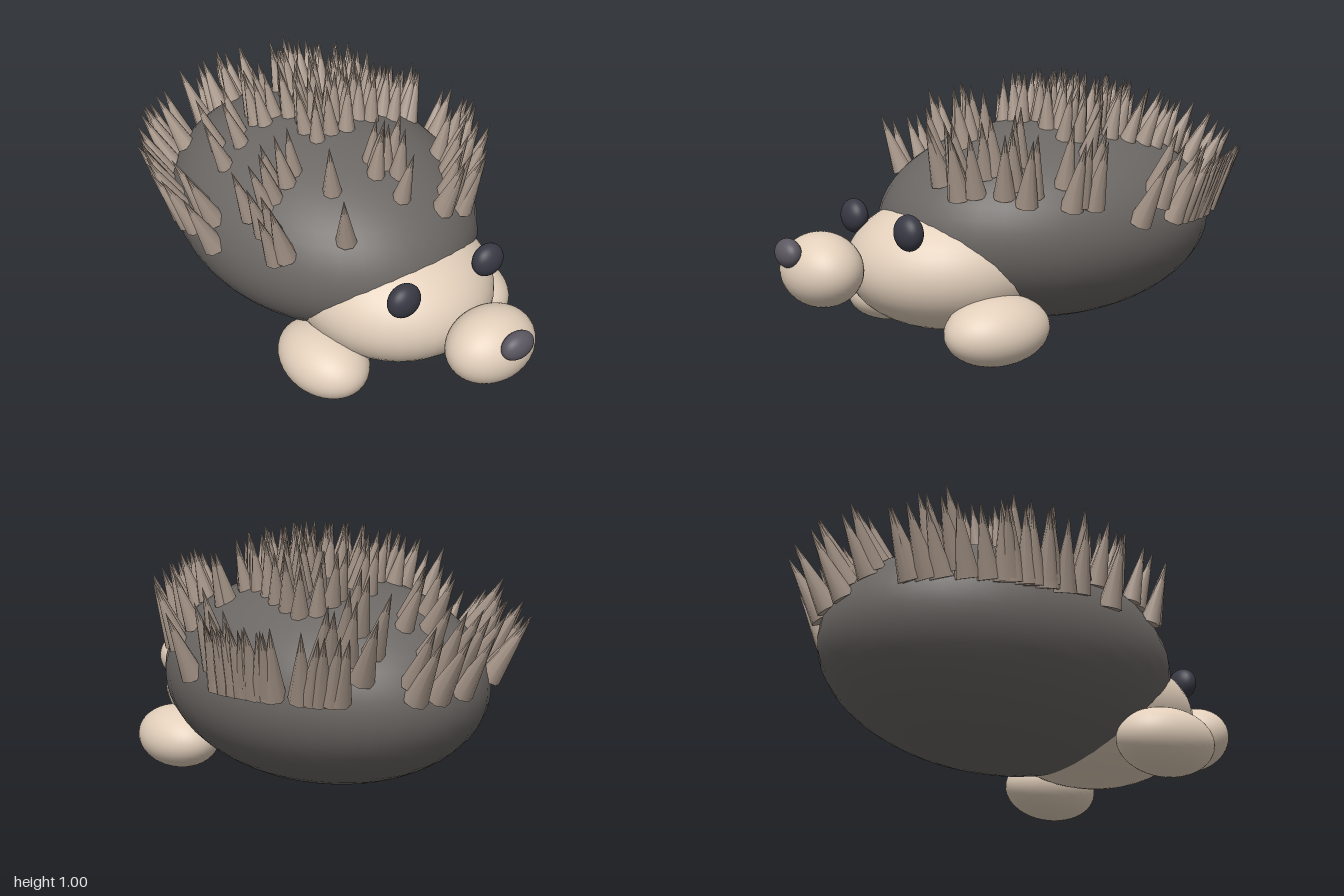
import * as THREE from 'three';

const BODY = { centre: [0, 0.425, -0.14], radii: [0.55, 0.385, 0.7] };

// Spike tufts seen from above: x, z, half width, half depth, number of spikes
const TUFTS = [
  [0.1, -0.12, 0.21, 0.14, 40], // crown
  [0.24, -0.36, 0.09, 0.13, 12],
  [0.04, -0.4, 0.03, 0.07, 5],
  [-0.13, -0.3, 0.06, 0.07, 7],
  [-0.31, -0.22, 0.09, 0.11, 4],
  [-0.3, 0.08, 0.07, 0.03, 4],
  [0.03, 0.24, 0.07, 0.07, 6],
  [0.36, -0.03, 0.03, 0.03, 2],
  [-0.2, 0.21, 0.01, 0.01, 1],
  [-0.25, 0.36, 0.01, 0.01, 1],
  [0, 0.37, 0.01, 0.01, 1],
  [0.54, -0.4, 0.04, 0.19, 20], // left rim
  [0.55, -0.13, 0.01, 0.01, 1],
  [0.47, 0.09, 0.04, 0.08, 5],
  [0.34, 0.27, 0.09, 0.07, 8],
  [0.22, 0.41, 0.09, 0.04, 7],
  [0.33, -0.65, 0.14, 0.08, 13], // rear
  [0.02, -0.8, 0.18, 0.05, 10],
  [0, -0.63, 0.1, 0.06, 4],
  [-0.37, -0.63, 0.1, 0.14, 10],
  [-0.53, -0.36, 0.04, 0.13, 10], // right rim
  [-0.52, -0.09, 0.03, 0.11, 4],
  [-0.42, 0.17, 0.04, 0.14, 6],
];

const paint = (color) => {
  const m = new THREE.MeshStandardMaterial();
  m.color.set(color);
  return m;
};

export function createModel() {
  const model = new THREE.Group();
  const dark = paint(0x6b6764);
  const cream = paint(0xe2cfbb);
  const spikeBrown = paint(0xaa998c);
  const eyeBlack = paint(0x3a3a46);
  const noseGrey = paint(0x5c5862);

  const ball = new THREE.SphereGeometry(1, 40, 28);
  const addEllipsoid = (name, material, centre, radii) => {
    const mesh = new THREE.Mesh(ball, material);
    mesh.name = name;
    mesh.position.set(...centre);
    mesh.scale.set(...radii);
    model.add(mesh);
  };

  // Body, face and snout
  addEllipsoid('body', dark, BODY.centre, BODY.radii);
  addEllipsoid('face', cream, [0, 0.305, 0.3], [0.375, 0.25, 0.41]);
  addEllipsoid('snout', cream, [0, 0.343, 0.84], [0.17, 0.129, 0.135]);
  addEllipsoid('nose', noseGrey, [0, 0.416, 0.96], [0.065, 0.05, 0.04]);

  // Eyes and front feet
  for (const [side, s] of [['left', 1], ['right', -1]]) {
    addEllipsoid(side + 'Eye', eyeBlack, [s * 0.195, 0.473, 0.61], [0.065, 0.063, 0.046]);
    addEllipsoid(side + 'Foot', cream, [s * 0.35, 0.124, 0.353], [0.15, 0.122, 0.2]);
  }

  // Spikes: longer and leaning further outwards towards the rim
  let seed = 11;
  const random = () => (seed = (seed * 16807) % 2147483647) / 2147483647;
  const jitter = (half) => (random() * 2 - 1) * half;
  // Even scatter over -1..1
  const scatter = (i, step) => ((0.5 + i * step) % 1) * 2 - 1;
  const cone = new THREE.ConeGeometry(0.165, 1, 8).translate(0, 0.5, 0);
  const up = new THREE.Vector3(0, 1, 0);
  const centre = new THREE.Vector3(...BODY.centre);
  const [rx, ry, rz] = BODY.radii;
  const spikes = new THREE.Group();
  spikes.name = 'spikes';
  for (const [tx, tz, halfX, halfZ, count] of TUFTS) {
    for (let i = 0; i < count; i++) {
      // Place on the body, no lower than the rim
      const x = tx + halfX * scatter(i, 0.7549) + jitter(0.01);
      const z = tz + halfZ * scatter(i, 0.5698) + jitter(0.01);
      const flat = new THREE.Vector2(x / rx, (z - centre.z) / rz).clampLength(0, 0.992);
      const r = flat.length();
      const base = new THREE.Vector3(flat.x * rx, ry * Math.sqrt(1 - r * r), flat.y * rz);
      const lean = new THREE.Vector3(
        base.x * 0.8 + jitter(0.06), 1, base.z * 0.78 - 0.13 + jitter(0.06)).normalize();

      const spike = new THREE.Mesh(cone, spikeBrown);
      spike.name = 'spike';
      spike.position.copy(base).add(centre).addScaledVector(lean, -0.008);
      spike.quaternion.setFromUnitVectors(up, lean);
      spike.scale.setScalar(0.195 + 0.07 * r ** 4 + jitter(0.012));
      spikes.add(spike);
    }
  }
  model.add(spikes);

  return model;
}
